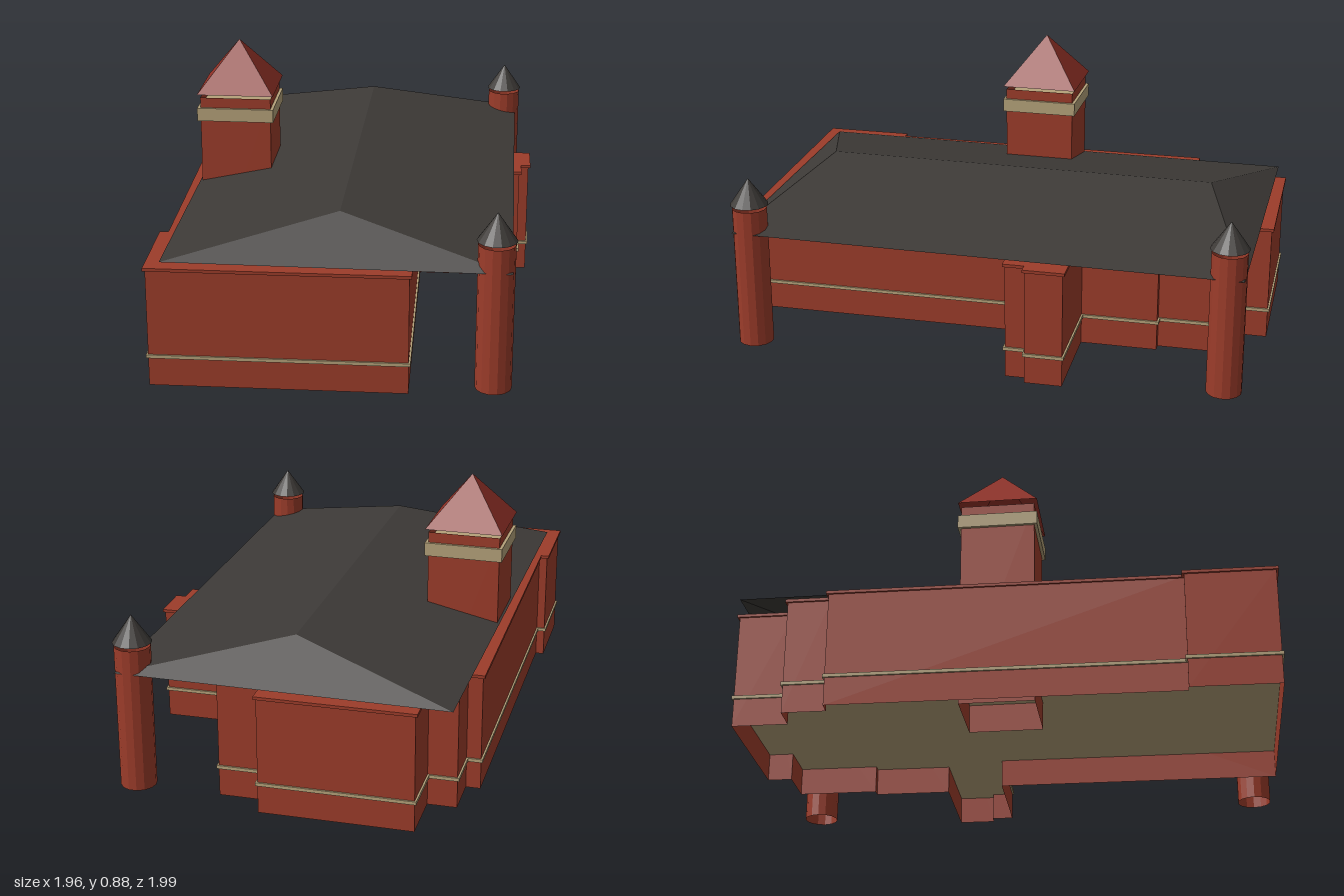
import * as THREE from 'three';

const mat = (color) => new THREE.MeshStandardMaterial({ color, flatShading: true, side: THREE.DoubleSide });
const RED = mat(0x9c3c2a), SLATE = mat(0x3d3a37), STONE = mat(0xb5a27a), TILE = mat(0x8f3026);

function add(parent, name, geometry, material) {
  const mesh = new THREE.Mesh(geometry, material);
  mesh.name = name;
  parent.add(mesh);
  return mesh;
}

// Open wall ring following a plan of [x, z] points
function wallRing(plan, y0, y1) {
  const pos = [];
  plan.forEach(([ax, az], i) => {
    const [bx, bz] = plan[(i + 1) % plan.length];
    pos.push(ax, y0, az, bx, y0, bz, bx, y1, bz, ax, y0, az, bx, y1, bz, ax, y1, az);
  });
  return fromPositions(pos);
}

function fromPositions(pos) {
  const g = new THREE.BufferGeometry();
  g.setAttribute('position', new THREE.Float32BufferAttribute(pos, 3));
  g.computeVertexNormals();
  return g;
}

// Push a right-angled plan outwards by d
function grow(plan, d) {
  const n = plan.length;
  const normal = (i) => {
    const a = plan[(i + n) % n], b = plan[(i + 1) % n];
    return [-Math.sign(b[1] - a[1]), Math.sign(b[0] - a[0])];
  };
  return plan.map(([x, z], i) => {
    const p = normal(i - 1), q = normal(i);
    return [x + d * (p[0] + q[0]), z + d * (p[1] + q[1])];
  });
}

// Solid horizontal slab over a plan
function slab(plan, y0, y1) {
  const shape = new THREE.Shape(plan.map(([x, z]) => new THREE.Vector2(x, z)));
  const g = new THREE.ExtrudeGeometry(shape, { depth: y1 - y0, bevelEnabled: false });
  return g.rotateX(Math.PI / 2).translate(0, y1, 0);
}

// Hipped roof without underside; ridge runs along z
function hipRoof(hx, hz, ridge, y0, y1) {
  const a = [-hx, y0, -hz], b = [hx, y0, -hz], c = [hx, y0, hz], d = [-hx, y0, hz];
  const r = [0, y1, -ridge], f = [0, y1, ridge];
  return fromPositions([a, r, b, d, c, f, b, r, f, b, f, c, a, d, f, a, f, r].flat());
}

const square = (s) => [[s, s], [s, -s], [-s, -s], [-s, s]];

export function createModel() {
  const model = new THREE.Group();
  model.name = 'building';

  // Stepped main block
  const block = new THREE.Group();
  block.name = 'mainBlock';
  block.position.set(0.025, 0, -0.005);
  block.rotation.y = -0.665;
  model.add(block);
  const plan = [
    [0.217, 0.872], [0.217, -0.08], [0.56, -0.08], [0.56, -0.151], [0.593, -0.151],
    [0.593, -0.274], [0.26, -0.274], [0.26, -0.53], [0.23, -0.53], [0.23, -0.798],
    [0.077, -0.798], [0.077, -0.88], [-0.42, -0.88], [-0.42, -0.697], [-0.515, -0.697],
    [-0.515, -0.553], [-0.562, -0.553], [-0.562, 0.584], [-0.59, 0.584], [-0.59, 0.872],
  ];
  add(block, 'walls', wallRing(plan, 0, 0.392), RED);
  add(block, 'stoneCourse', slab(grow(plan, 0.006), 0.094, 0.105), STONE);
  add(block, 'cornice', slab(grow(plan, 0.007), 0.386, 0.396), RED);

  // Main roof
  const roof = add(model, 'mainRoof', hipRoof(0.54, 0.845, 0.665, 0.4, 0.518), SLATE);
  roof.position.set(0.025, 0, -0.005);
  roof.rotation.y = -0.68;

  // Square tower with a stone band and pyramid cap
  const tower = new THREE.Group();
  tower.name = 'tower';
  tower.position.set(-0.293, 0, -0.267);
  tower.rotation.y = -0.68;
  model.add(tower);
  add(tower, 'towerWalls', wallRing(square(0.12), 0, 0.7), RED);
  add(tower, 'towerBand', slab(square(0.13), 0.62, 0.665), STONE);
  add(tower, 'towerRoof', hipRoof(0.13, 0.13, 0, 0.712, 0.877), TILE);

  // Round corner turrets
  for (const [x, z] of [[-0.095, 0.922], [0.908, -0.308]]) {
    const turret = new THREE.Group();
    turret.name = 'turret';
    turret.position.set(x, 0, z);
    model.add(turret);
    add(turret, 'turretShaft', new THREE.CylinderGeometry(0.058, 0.058, 0.48, 14, 1, true).translate(0, 0.24, 0), RED);
    add(turret, 'turretRoof', new THREE.ConeGeometry(0.063, 0.09, 14, 1, true).translate(0, 0.536, 0), SLATE);
  }
  return model;
}
